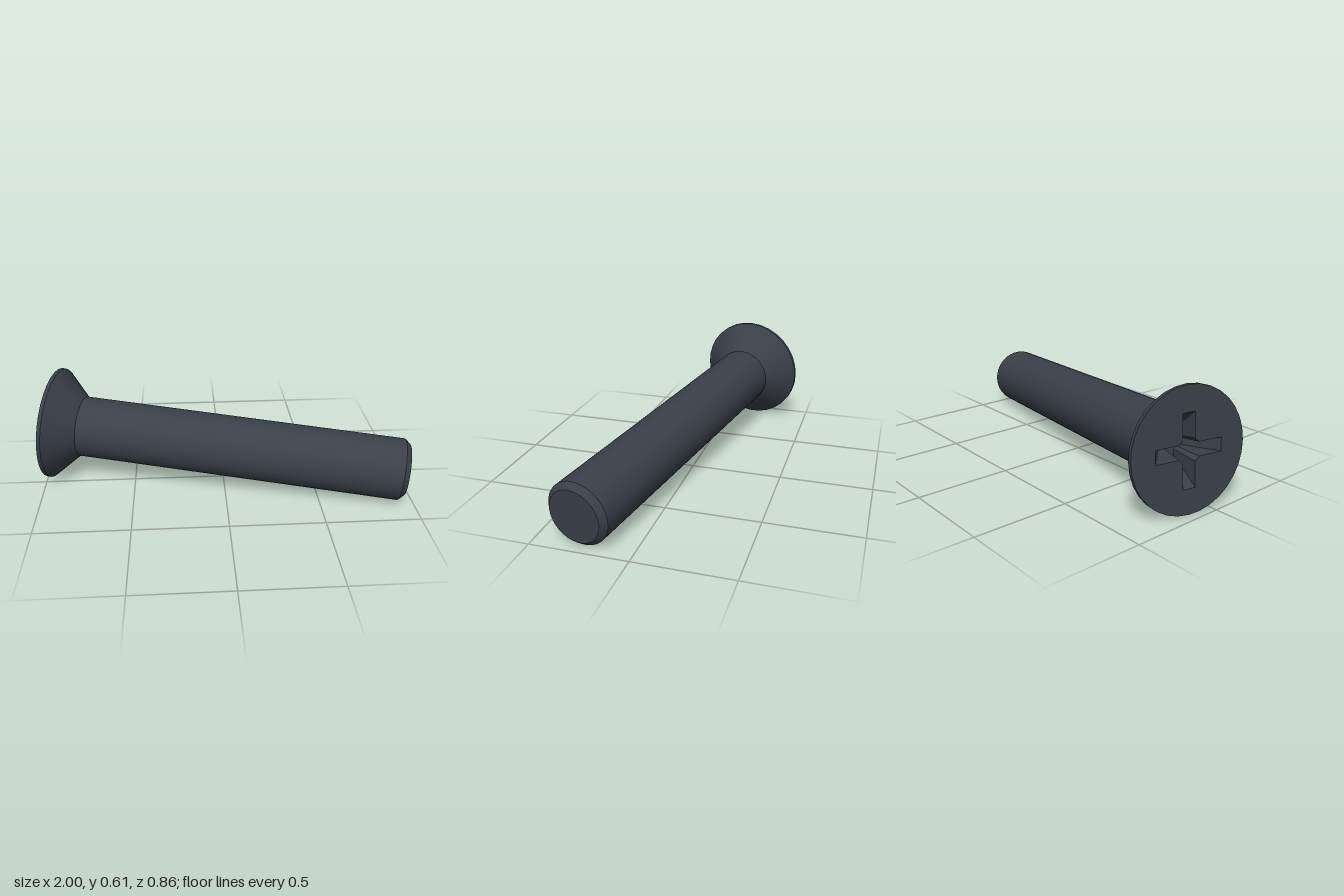
import * as THREE from 'three';

const SIDES = 32;
const LENGTH = 1.949;
const HEAD_R = 0.307, SHAFT_R = 0.167, TIP_R = 0.139;
const RIM_END = 0.02, CONE_END = 0.16, CHAMFER = 0.03, RECESS_DEPTH = 0.15;

// Cross outline, counter-clockwise: arm length, half width, and start of the corner chamfer
function crossOutline(length, w, k) {
  const points = [];
  for (let i = 0; i < 4; i++) {
    const centre = new THREE.Vector2();
    for (const [x, y] of [[length, -w], [length, w], [k, w]]) {
      points.push(new THREE.Vector2(x, y).rotateAround(centre, i * Math.PI / 2));
    }
    points.push(new THREE.Vector2(w, k).rotateAround(centre, i * Math.PI / 2));
  }
  return points;
}

// Flat tapered walls of the recess between two outlines
function recessWalls(top, bottom, depth) {
  const pos = [];
  top.forEach((a, i) => {
    const j = (i + 1) % top.length;
    const b = top[j], c = bottom[j], d = bottom[i];
    pos.push(a.x, a.y, 0, b.x, b.y, 0, c.x, c.y, -depth);
    pos.push(a.x, a.y, 0, c.x, c.y, -depth, d.x, d.y, -depth);
  });
  const geo = new THREE.BufferGeometry();
  geo.setAttribute('position', new THREE.Float32BufferAttribute(pos, 3));
  geo.computeVertexNormals();
  return geo;
}

export function createModel() {
  const steel = new THREE.MeshStandardMaterial({ color: 0x3a4048 });
  steel.name = 'dark steel';
  const screw = new THREE.Group();
  screw.name = 'countersunkScrew';

  const add = (name, geometry) => {
    const mesh = new THREE.Mesh(geometry, steel);
    mesh.name = name;
    screw.add(mesh);
  };

  // Turned body along local y; separate bands keep the edges sharp
  const band = (name, r0, y0, r1, y1) => add(name, new THREE.LatheGeometry(
    [new THREE.Vector2(r0, y0), new THREE.Vector2(r1, y1)], SIDES));
  band('headRim', HEAD_R, 0, HEAD_R, RIM_END);
  band('headCone', HEAD_R, RIM_END, SHAFT_R, CONE_END);
  band('shaft', SHAFT_R, CONE_END, SHAFT_R, LENGTH - CHAMFER);
  band('tipChamfer', SHAFT_R, LENGTH - CHAMFER, TIP_R, LENGTH);
  add('tipFace', new THREE.CircleGeometry(TIP_R, SIDES)
    .rotateX(-Math.PI / 2).translate(0, LENGTH, 0));

  // Head face with the cross recess cut into it
  const outer = crossOutline(0.18, 0.034, 0.055);
  const inner = crossOutline(0.065, 0.022, 0.036);
  const rim = [];
  for (let i = 0; i < SIDES; i++) {
    const a = i / SIDES * Math.PI * 2;
    rim.push(new THREE.Vector2(Math.cos(a) * HEAD_R, Math.sin(a) * HEAD_R));
  }
  const face = new THREE.Shape(rim);
  face.holes.push(new THREE.Path(outer.slice().reverse()));
  add('headFace', new THREE.ShapeGeometry(face).rotateX(Math.PI / 2));
  add('recessWalls', recessWalls(outer, inner, RECESS_DEPTH).rotateX(Math.PI / 2));
  add('recessFloor', new THREE.ShapeGeometry(new THREE.Shape(inner))
    .translate(0, 0, -RECESS_DEPTH).rotateX(Math.PI / 2));

  // Lay the screw down, resting on its head rim and tip
  const axis = new THREE.Vector3(1, -0.0755, 0.214).normalize();
  const up = new THREE.Vector3(0, 1, 0).addScaledVector(axis, -axis.y).normalize();
  const side = new THREE.Vector3().crossVectors(axis, up);
  screw.quaternion.setFromRotationMatrix(new THREE.Matrix4().makeBasis(side, axis, up));
  screw.position.set(-0.932, 0.3085, -0.133);

  const model = new THREE.Group();
  model.name = 'screwModel';
  model.add(screw);
  return model;
}
